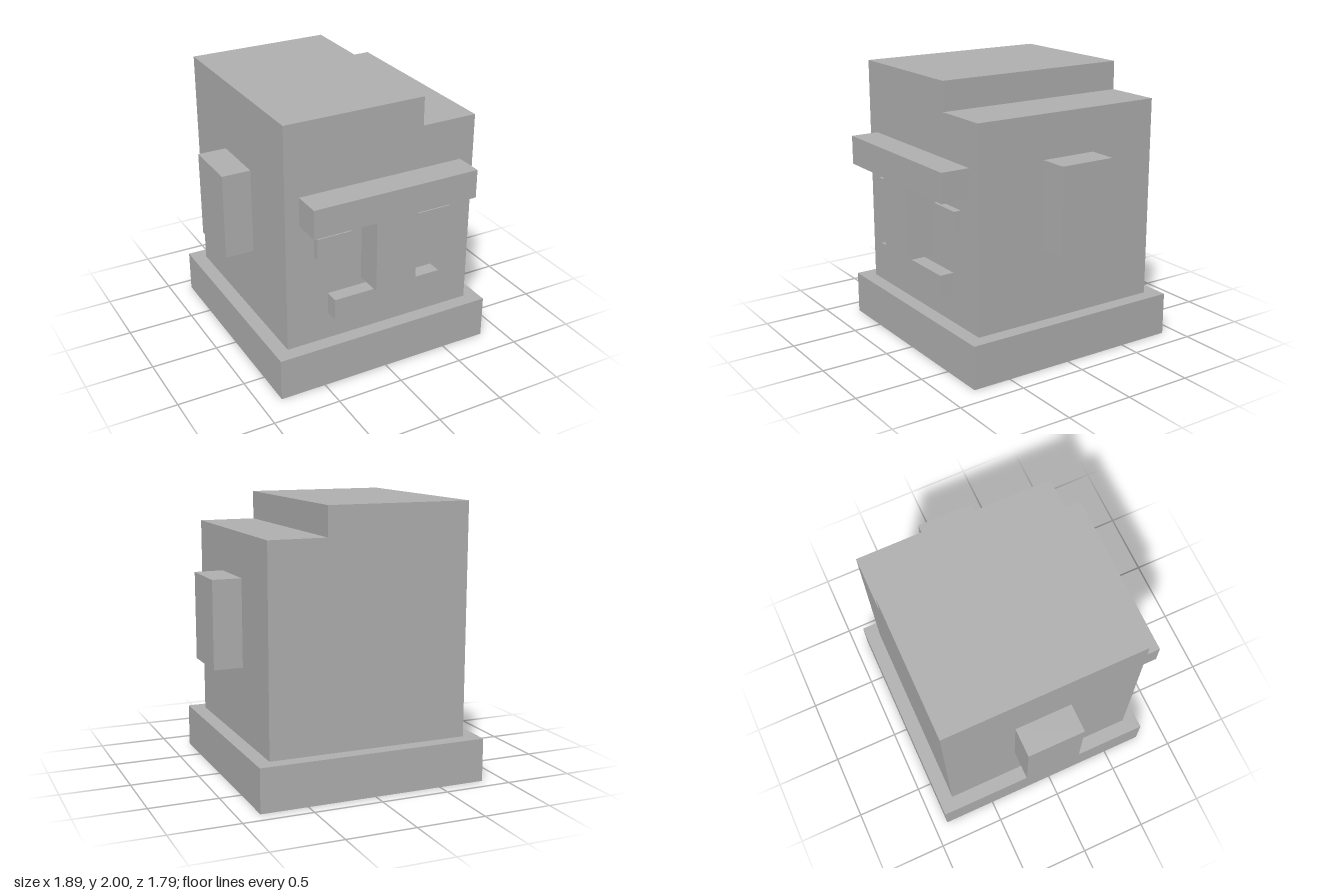
import * as THREE from 'three';

const stone = new THREE.MeshStandardMaterial({ color: 0xb2b2b2 });
stone.name = 'grey stone';

// The whole statue sits on a grid of 38 steps over its height
const U = 2 / 38;

function addMesh(group, name, geometry) {
  const mesh = new THREE.Mesh(geometry, stone);
  mesh.name = name;
  group.add(mesh);
  return mesh;
}

// Box given by its extents, in grid steps
function addBlock(group, name, [x0, x1], [y0, y1], [z0, z1]) {
  const geometry = new THREE.BoxGeometry((x1 - x0) * U, (y1 - y0) * U, (z1 - z0) * U);
  const mesh = addMesh(group, name, geometry);
  mesh.position.set((x0 + x1) / 2 * U, (y0 + y1) / 2 * U, (z0 + z1) / 2 * U);
}

// Front outline pushed from z0 to z1, in grid steps
function addSlab(group, name, outline, [z0, z1]) {
  const shape = new THREE.Shape(outline.map(([x, y]) => new THREE.Vector2(x * U, y * U)));
  const geometry = new THREE.ExtrudeGeometry(shape, { depth: (z1 - z0) * U, bevelEnabled: false });
  addMesh(group, name, geometry).position.z = z0 * U;
}

export function createModel() {
  const model = new THREE.Group();
  model.name = 'stoneHead';

  // Plinth
  addBlock(model, 'base', [-16, 16], [0, 6], [-17, 15]);

  // Head with a step cut out of its top left edge
  addSlab(model, 'head',
    [[-14, 6], [14, 6], [14, 34], [6, 34], [6, 38], [-14, 38]], [-15, 13]);

  // Brow and nose form one T
  addSlab(model, 'browAndNose',
    [[-3, 14], [3, 14], [3, 24], [12, 24], [12, 28], [-12, 28], [-12, 24], [-3, 24]], [13, 17]);

  addBlock(model, 'mouth', [-8, 8], [10, 13], [13, 15]);

  // Eyes and ears, mirrored
  for (const [side, s] of [['left', 1], ['right', -1]]) {
    const span = (a, b) => (s > 0 ? [a, b] : [-b, -a]);
    addBlock(model, side + 'Eye', span(5, 10), [19, 22], [13, 14]);
    addBlock(model, side + 'Ear', span(14, 18), [16, 28], [-5, 3]);
  }

  return model;
}
